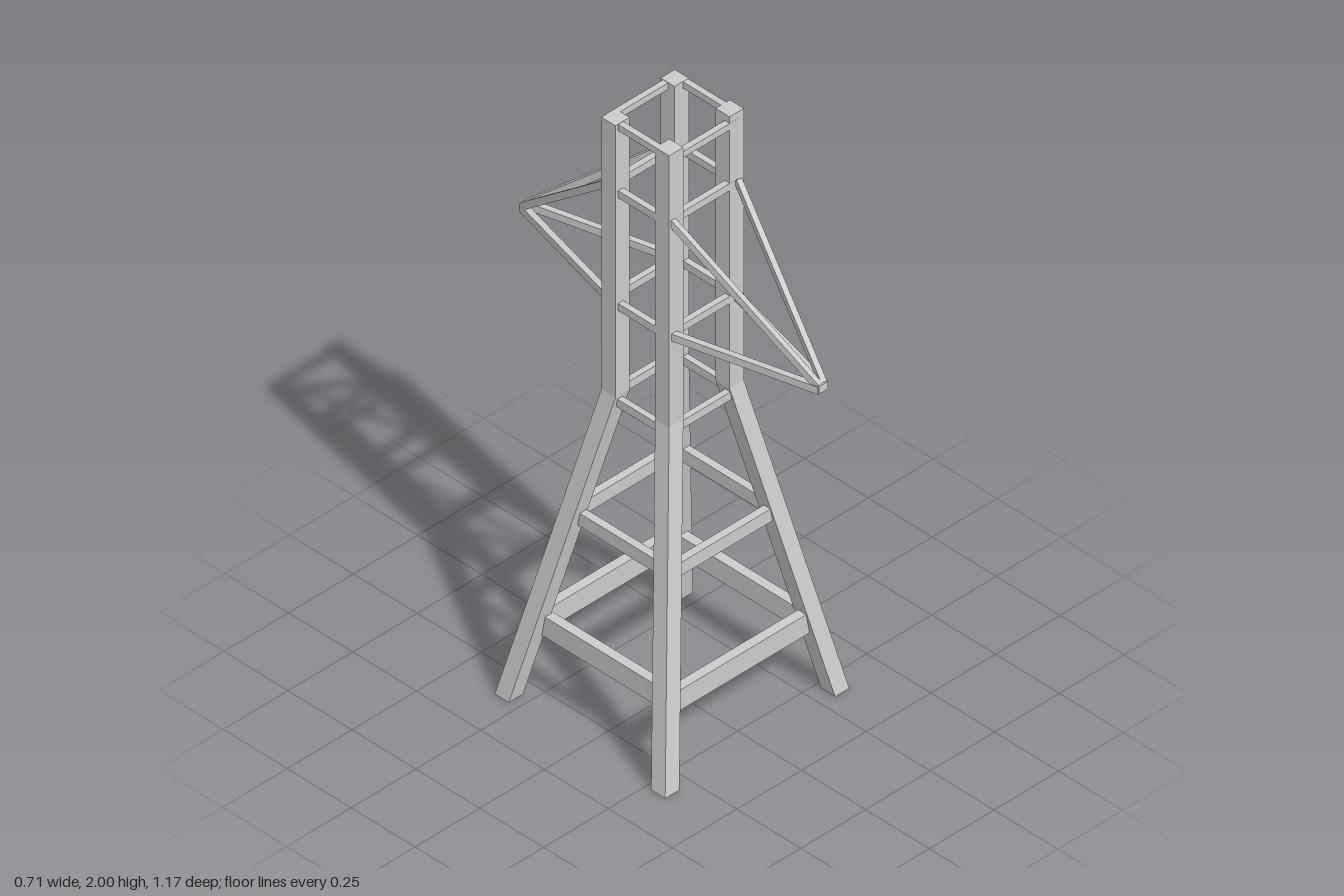
import * as THREE from 'three';

const material = new THREE.MeshStandardMaterial({ color: 0xcccccc, flatShading: true, side: THREE.DoubleSide });
const KNEE = 1.06, TOP = 2, POST = 0.055;

function add(group, geometry, name) {
  const mesh = new THREE.Mesh(geometry, material);
  mesh.name = name;
  group.add(mesh);
  return mesh;
}

// Square post: upright above the knee, sheared outwards to the foot below it
function legGeometry(px, pz, fx, fz) {
  const g = new THREE.BoxGeometry(POST, 1, POST, 1, 2, 1);
  const p = g.attributes.position;
  for (let i = 0; i < p.count; i++) {
    const v = p.getY(i);
    const foot = v < -0.25;
    const y = foot ? 0 : v < 0.25 ? KNEE : TOP;
    p.setXYZ(i, p.getX(i) + (foot ? fx : px), y, p.getZ(i) + (foot ? fz : pz));
  }
  g.computeVertexNormals();
  return g;
}

// Straight bar between two points, with its height kept upright
function beam(group, a, b, w, h, name) {
  const from = new THREE.Vector3(...a), to = new THREE.Vector3(...b);
  const mesh = add(group, new THREE.BoxGeometry(w, h, from.distanceTo(to)), name);
  mesh.position.copy(from).add(to).multiplyScalar(0.5);
  mesh.lookAt(to);
}

export function createModel() {
  const model = new THREE.Group();
  model.name = 'latticeTower';

  // Four slightly irregular corner legs: post x, z and foot x, z
  const legs = [
    ['frontLeftLeg', 0.126, 0.092, 0.328, 0.3],
    ['frontRightLeg', -0.117, 0.101, -0.329, 0.3],
    ['backLeftLeg', 0.115, -0.112, 0.328, -0.312],
    ['backRightLeg', -0.126, -0.1, -0.329, -0.312],
  ];
  for (const [name, ...c] of legs) add(model, legGeometry(...c), name);

  // Rings of rails: bottom, top, -x, +x, +z, -z, thickness, drop of the front rail
  const rings = [
    [0.21, 0.28, -0.255, 0.267, 0.252, -0.265, 0.032, 0],
    [0.6, 0.645, -0.196, 0.21, 0.186, -0.198, 0.026, 0],
    [1.02, 1.048, -0.133, 0.13, 0.11, -0.12, 0.02, 0],
    [1.355, 1.38, -0.133, 0.13, 0.11, -0.12, 0.02, 0],
    [1.745, 1.77, -0.133, 0.13, 0.11, -0.12, 0.02, 0],
    [1.977, 1.999, -0.133, 0.13, 0.11, -0.12, 0.02, 0.022],
  ];
  rings.forEach(([y0, y1, l, r, f, b, t, drop], i) => {
    const ring = new THREE.Group();
    ring.name = 'railRing' + (i + 1);
    const y = (y0 + y1) / 2, h = y1 - y0;
    beam(ring, [l, y - drop, f], [r, y - drop, f], t, h, 'frontRail');
    beam(ring, [l, y, b], [r, y, b], t, h, 'backRail');
    beam(ring, [l, y, b], [l, y, f], t, h, 'rightRail');
    beam(ring, [r, y, b], [r, y, f], t, h, 'leftRail');
    model.add(ring);
  });

  // Triangular cross arms reaching to the front and back
  for (const s of [1, -1]) {
    const arm = new THREE.Group();
    arm.name = s > 0 ? 'frontArm' : 'backArm';
    for (const m of [1, -1]) {
      beam(arm, [m * 0.13, 1.367, s * 0.11], [m * 0.01, 1.367, s * 0.582], 0.02, 0.025, 'armBar');
      beam(arm, [m * 0.13, 1.765, s * 0.12], [m * 0.009, 1.375, s * 0.575], 0.018, 0.022, 'armStay');
    }
    const tip = add(arm, new THREE.BoxGeometry(0.034, 0.026, 0.024), 'armTip');
    tip.position.set(0, 1.368, s * 0.573);
    model.add(arm);
  }
  return model;
}
